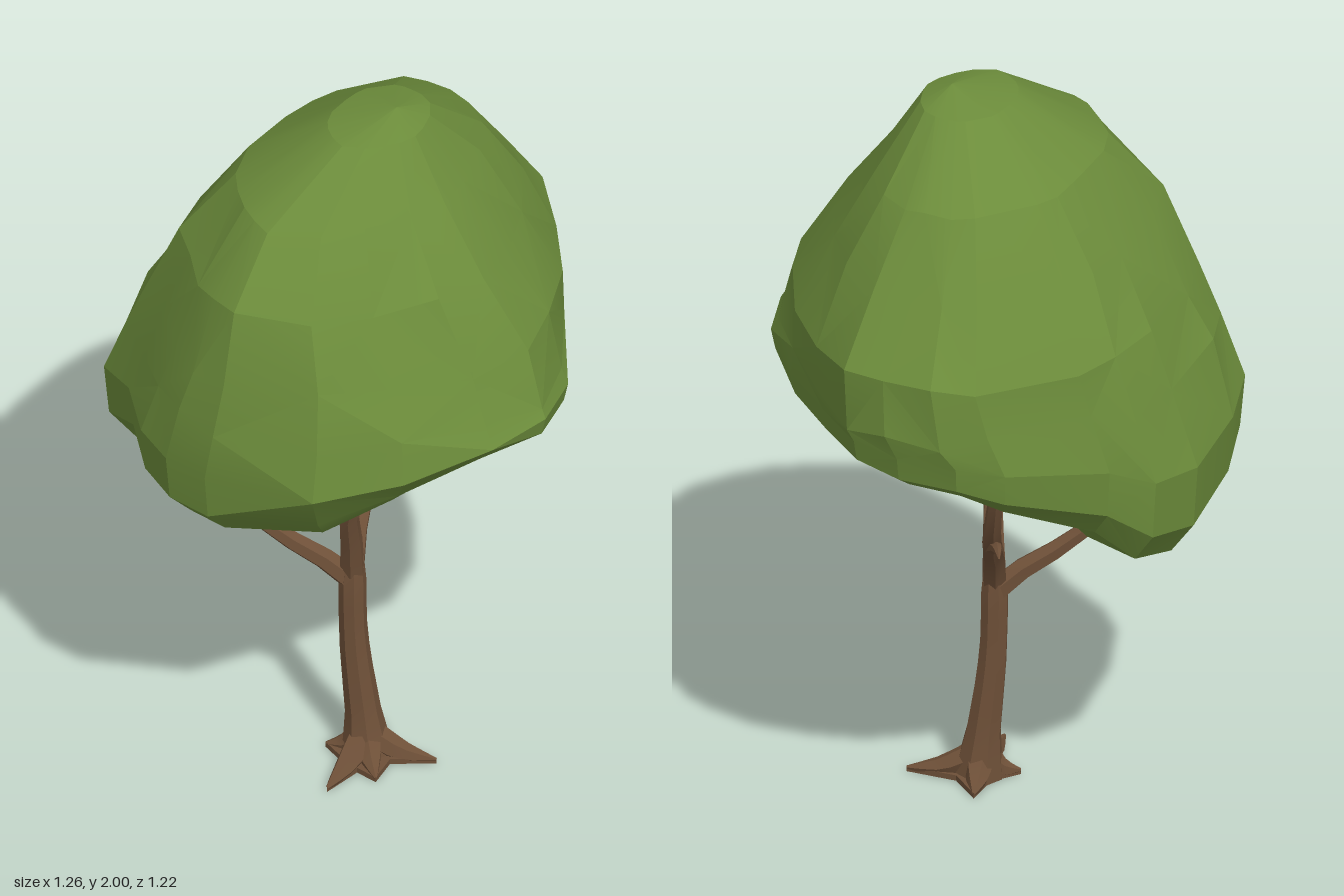
import * as THREE from 'three';
import { toCreasedNormals } from 'three/addons/utils/BufferGeometryUtils.js';

const V = (p) => new THREE.Vector3(...p);
const lerp = THREE.MathUtils.lerp;

// Tapered limb along a curve; radii are spread evenly along its length
function limbGeometry(points, radii, sides = 6, steps = 6) {
  const curve = new THREE.CatmullRomCurve3(points.map(V));
  const geo = new THREE.TubeGeometry(curve, steps, 1, sides, false);
  const pos = geo.attributes.position;
  const v = new THREE.Vector3();
  for (let i = 0; i <= steps; i++) {
    const c = curve.getPointAt(i / steps);
    const f = (i / steps) * (radii.length - 1);
    const k = Math.min(Math.floor(f), radii.length - 2);
    const r = lerp(radii[k], radii[k + 1], f - k);
    for (let j = 0; j <= sides; j++) {
      const n = i * (sides + 1) + j;
      v.fromBufferAttribute(pos, n).sub(c).multiplyScalar(r).add(c);
      pos.setXYZ(n, v.x, Math.max(v.y, 0), v.z);
    }
  }
  return toCreasedNormals(geo, 0.5);
}

// Canopy outline: angle from +x towards +z, reach, height of the lower rim
const OUTLINE = [
  [-4, .622, 1.13], [8.5, .607, 1.15], [28, .53, 1.14], [51, .526, 1.14], [74, .578, 1.16],
  [90, .61, 1.17], [107, .607, 1.15], [130, .597, 1.05], [152, .622, .97], [180, .622, .95],
  [192, .63, .95], [204, .62, .96], [220, .593, .98], [233.5, .645, .91], [251, .613, .87],
  [275, .612, .83], [290, .607, .86], [301, .56, .95], [330, .614, 1.07], [341.5, .63, 1.12],
];
// Crown rings: height, then extent to +x, -x, +z, -z
const CROWN = [
  [1.965, .14, .16, .195, .04],
  [1.81, .36, .4, .3, .245],
  [1.63, .485, .54, .435, .37],
  [1.44, .605, .592, .55, .475],
  [1.3, .62, .61, .595, .545],
];

function canopyGeometry() {
  const N = OUTLINE.length;
  const rings = [];
  const ring = (rule) => rings.push(OUTLINE.map(([deg, r, rim], i) => {
    const t = THREE.MathUtils.degToRad(deg);
    return rule(Math.cos(t), Math.sin(t), r, rim, i);
  }));
  // crown: offset ellipses, fuller at the back right, that grow into the outline
  CROWN.forEach(([y, xp, xn, zp, zn], k) => ring((c, s, r, rim, i) => {
    const bulge = 1 + (k < 4 ? .13 : .05) * (c - s) * Math.abs(c * s);
    const fit = lerp(1, r / 0.615, k / 4) * bulge * (1 + 0.003 * k * Math.sin(i * 2.7 + k * 1.9));
    return [
      (xp - xn) / 2 + c * (xp + xn) / 2 * fit,
      y + 0.005 * k * Math.sin(i * 1.7 + k * 2.3),
      (zp - zn) / 2 + s * (zp + zn) / 2 * fit,
    ];
  }));
  // skirt: each ring has a reach factor, a height rule and a tuck at the front left
  const skirt = [
    [1, 0, (rim) => rim + .09 + (1.17 - rim) * .5],
    [.98, .12, (rim) => rim + .04 + (1.17 - rim) * .15],
    [.87, .12, (rim) => rim],
    [.57, 0, (rim) => rim * .88 + .098],
    [.36, 0, (rim) => rim * .25 + .845],
  ];
  skirt.forEach(([f, tuck, height]) => ring((c, s, r, rim) => {
    const reach = r * (f - tuck * Math.max(0, s) * Math.max(0, -c) * 2);
    return [c * reach, height(rim), s * reach];
  }));

  const out = [];
  const tri = (...corners) => corners.forEach((p) => out.push(...p));
  const last = rings.length - 1;
  for (let i = 0; i < N; i++) {
    const n = (i + 1) % N;
    tri([0.02, 2, .11], rings[0][n], rings[0][i]);
    for (let j = 0; j < last; j++) {
      const a = rings[j][i], b = rings[j][n], c = rings[j + 1][n], d = rings[j + 1][i];
      if ((i + j) % 2) tri(a, b, c, a, c, d);
      else tri(a, b, d, b, c, d);
    }
    tri(rings[last][i], rings[last][n], [-.03, 1.14, .02]);
  }
  const geo = new THREE.BufferGeometry();
  geo.setAttribute('position', new THREE.Float32BufferAttribute(out, 3));
  return toCreasedNormals(geo, 0.25);
}

// Flat star that webs the roots together
function soleGeometry(tips, cx, cz) {
  const shape = new THREE.Shape();
  tips.forEach(([x, z], i) => {
    const [nx, nz] = tips[(i + 1) % tips.length];
    if (i) shape.lineTo(x, z);
    else shape.moveTo(x, z);
    shape.lineTo(lerp(cx, (x + nx) / 2, .6), lerp(cz, (z + nz) / 2, .6));
  });
  const geo = new THREE.ExtrudeGeometry(shape, { depth: .015, bevelEnabled: false });
  return geo.rotateX(Math.PI / 2).translate(0, .015, 0);
}

export function createModel() {
  const bark = new THREE.MeshStandardMaterial({ color: 0x6e5038 });
  bark.name = 'bark brown';
  const leaf = new THREE.MeshStandardMaterial({ color: 0x6c8c3b });
  leaf.name = 'leaf green';

  const tree = new THREE.Group();
  tree.name = 'tree';
  const add = (name, geo, mat) => {
    const mesh = new THREE.Mesh(geo, mat);
    mesh.name = name;
    tree.add(mesh);
  };

  add('canopy', canopyGeometry(), leaf);

  add('trunk', limbGeometry(
    [[-.05, 0, .07], [-.05, .1, .06], [-.06, .35, .035], [-.06, .55, .03], [-.055, .66, .03]],
    [.066, .046, .04, .036, .036, .022], 8, 10), bark);

  // Boughs rising into the canopy
  const boughs = {
    leftFrontBough: [[[-.06, .56, .03], [-.09, .7, .05], [-.13, .84, .08], [-.1, .95, .14], [-.05, 1.15, .25]], [.034, .026, .018, .013]],
    rightBough: [[[-.11, .78, .07], [-.14, .87, .08], [-.18, .98, .075], [-.235, 1.12, .07]], [.022, .018, .012]],
    leftBough: [[[-.06, .56, .03], [-.02, .65, .01], [.09, .76, -.04], [.15, .9, -.08], [.21, 1.11, -.13]], [.033, .028, .02, .014]],
    leftBoughFork: [[[.165, .93, -.09], [.2, 1.0, -.1], [.27, 1.09, -.13]], [.016, .01]],
    rearBough: [[[-.06, .53, .03], [-.1, .59, -.03], [-.175, .68, -.15], [-.225, .79, -.23], [-.265, .93, -.29]], [.033, .026, .018, .012]],
    twig: [[[.07, .73, -.03], [.12, .76, -.07], [.185, .767, -.11]], [.02, .014, .002]],
  };
  for (const [name, [path, radii]] of Object.entries(boughs)) {
    add(name, limbGeometry(path, radii), bark);
  }

  // Flared roots around the foot
  const rootTips = [[.075, .02], [.02, .24], [-.14, .17], [-.25, .1], [-.1, -.025]];
  rootTips.forEach(([x, z], i) => add('root' + (i + 1), limbGeometry(
    [[-.05, .065, .065], [(x - .05) / 2, .02, (z + .065) / 2], [x, .012, z]],
    [.038, .036, .024, .004], 6, 5), bark));
  add('rootSole', soleGeometry(rootTips, -.05, .065), bark);

  return tree;
}
